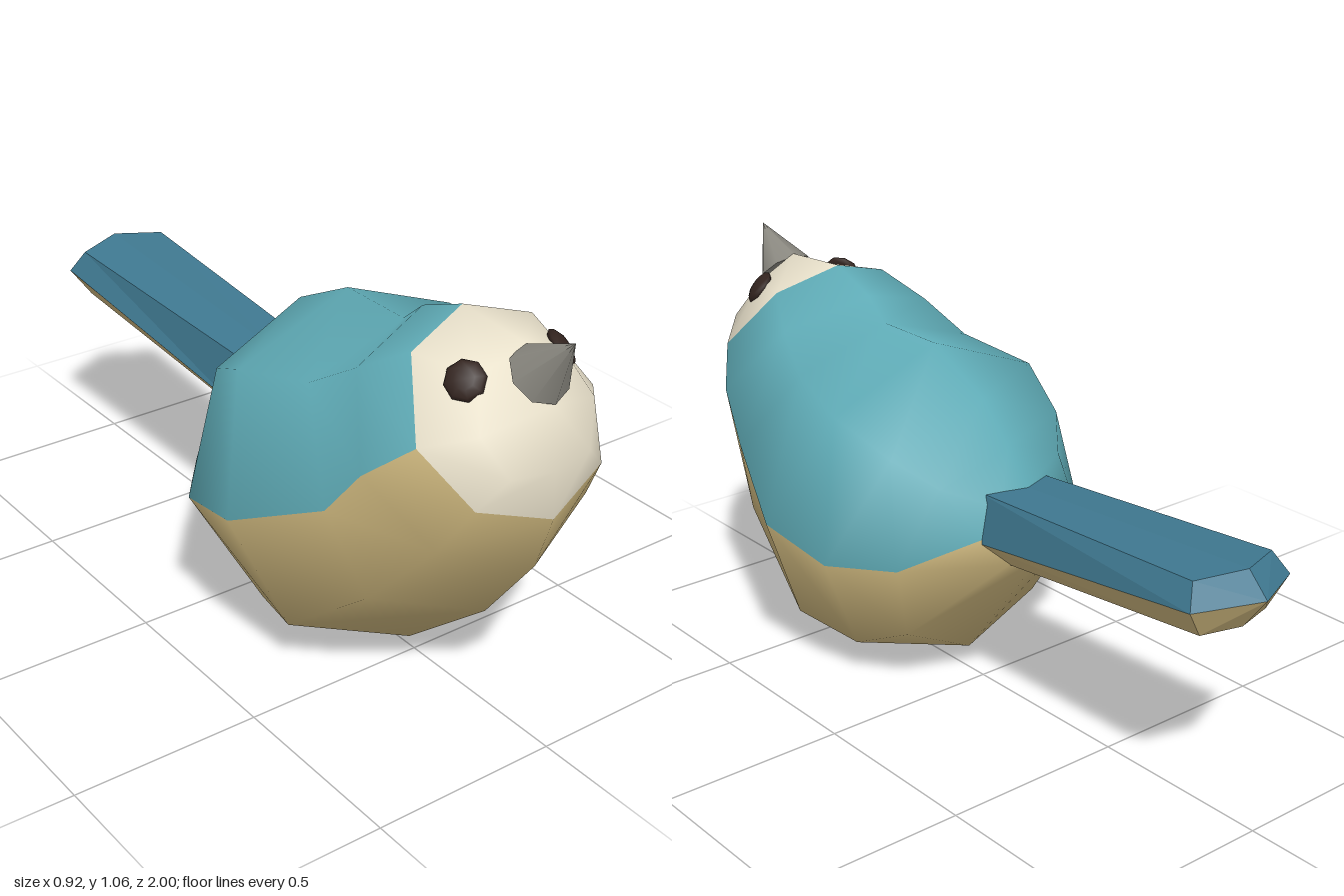
import * as THREE from 'three';

const TEAL = 0x5fabb6, TAN = 0xc8b27a, CREAM = 0xeae2cc, BLUE = 0x3f7890, EYE = 0x33241f, BEAK = 0x8a8880;

// Half section (top centre, upper side, side, lower side, bottom centre) -> closed ring of 8
function fullRing(half) {
  const mirrored = half.slice(1, 4).reverse().map(([x, y, z]) => [-x, y, z]);
  return [...half, ...mirrored];
}

// Skin rings running front to back, close both ends, and split the faces by colour.
// All colours share the same vertices so that shading flows across their borders.
function addLoft(group, halves, front, rear, parts, pick, flatShading) {
  const n = 8, last = halves.length - 1;
  const points = [...halves.flatMap(fullRing), front, rear];
  const f = points.length - 2, r = points.length - 1;
  const faces = parts.map(() => []), all = [];
  const add = (row, s, ...ids) => {
    faces[pick(row, s)].push(...ids);
    all.push(...ids);
  };
  for (let s = 0; s < n; s++) {
    const t = (s + 1) % n;
    add(-1, s, f, t, s);
    for (let k = 0; k < last; k++) {
      const a = k * n + s, b = k * n + t;
      add(k, s, a, b, b + n, a, b + n, a + n);
    }
    add(last, s, r, last * n + s, last * n + t);
  }
  const whole = new THREE.BufferGeometry();
  whole.setAttribute('position', new THREE.Float32BufferAttribute(points.flat(), 3));
  whole.setIndex(all);
  whole.computeVertexNormals();
  parts.forEach(([name, color], i) => {
    const geo = new THREE.BufferGeometry();
    geo.setAttribute('position', whole.attributes.position);
    geo.setAttribute('normal', whole.attributes.normal);
    geo.setIndex(faces[i]);
    addMesh(group, name, geo, color, flatShading);
  });
}

function addMesh(group, name, geo, color, flatShading = false) {
  const mesh = new THREE.Mesh(geo, new THREE.MeshStandardMaterial({ color, flatShading }));
  mesh.name = name;
  group.add(mesh);
  return mesh;
}

export function createModel() {
  const model = new THREE.Group();
  model.name = 'bird';
  const isUpper = (s) => s < 2 || s > 5;

  // Body: sections fan from the face over the back and under the belly
  const body = new THREE.Group();
  body.name = 'body';
  model.add(body);
  const sections = [
    [[0, 1.01, 0.85], [0.125, 0.96, 0.83], [0.17, 0.85, 0.9], [0.12, 0.75, 0.95], [0, 0.74, 0.965]],
    [[0, 1.025, 0.63], [0.18, 0.97, 0.67], [0.265, 0.81, 0.8], [0.19, 0.68, 0.92], [0, 0.62, 0.97]],
    [[0, 0.97, 0.49], [0.24, 0.9, 0.55], [0.34, 0.72, 0.7], [0.23, 0.55, 0.84], [0, 0.47, 0.92]],
    [[0, 0.91, 0.42], [0.28, 0.82, 0.42], [0.365, 0.59, 0.6], [0.29, 0.36, 0.67], [0, 0.26, 0.76]],
    [[0, 0.91, 0.2], [0.33, 0.78, 0.2], [0.46, 0.47, 0.34], [0.325, 0.15, 0.4], [0, 0.03, 0.48]],
    [[0, 0.81, 0], [0.28, 0.7, 0.03], [0.43, 0.42, 0.12], [0.27, 0.11, 0.21], [0, 0.005, 0.23]],
    [[0, 0.71, -0.1], [0.2, 0.63, -0.07], [0.31, 0.42, -0.03], [0.22, 0.18, 0.05], [0, 0.07, 0.06]],
    [[0, 0.62, -0.18], [0.08, 0.58, -0.17], [0.13, 0.5, -0.15], [0.09, 0.44, -0.21], [0, 0.44, -0.23]],
  ];
  addLoft(body, sections, [0, 0.9, 0.95], [0, 0.52, -0.2],
    [['face', CREAM], ['back', TEAL], ['belly', TAN]],
    (row, s) => (row < 1 ? 0 : isUpper(s) ? 1 : 2), false);

  // Tail: six-sided bar, blue above and tan below, with a pointed end
  const tail = new THREE.Group();
  tail.name = 'tail';
  model.add(tail);
  const tailSections = [
    [[0, 0.615, -0.1], [0.1, 0.61, -0.1], [0.13, 0.485, -0.12], [0.08, 0.43, -0.15], [0, 0.43, -0.15]],
    [[0, 0.67, -0.94], [0.13, 0.66, -0.89], [0.165, 0.6, -0.92], [0.11, 0.52, -0.9], [0, 0.52, -0.93]],
  ];
  addLoft(tail, tailSections, [0, 0.52, -0.1], [0, 0.61, -1],
    [['tailTop', BLUE], ['tailUnderside', TAN]], (row, s) => (isUpper(s) ? 0 : 1), true);

  // Beak: faceted cone pointing forward and up
  const beak = addMesh(model, 'beak', new THREE.ConeGeometry(0.077, 0.156, 8), BEAK);
  beak.position.set(0, 1.012, 0.947);
  beak.rotation.x = Math.atan2(0.105, 0.115);

  // Eyes: flattened beads lying on the cheeks
  for (const side of [1, -1]) {
    const eye = addMesh(model, side > 0 ? 'leftEye' : 'rightEye', new THREE.SphereGeometry(0.05, 8, 6), EYE);
    const normal = new THREE.Vector3(0.66 * side, 0.6, 0.45).normalize();
    eye.geometry.rotateX(Math.PI / 2).scale(1, 1, 0.4);
    eye.position.set(0.142 * side, 0.946, 0.812);
    eye.quaternion.setFromUnitVectors(new THREE.Vector3(0, 0, 1), normal);
  }
  return model;
}
